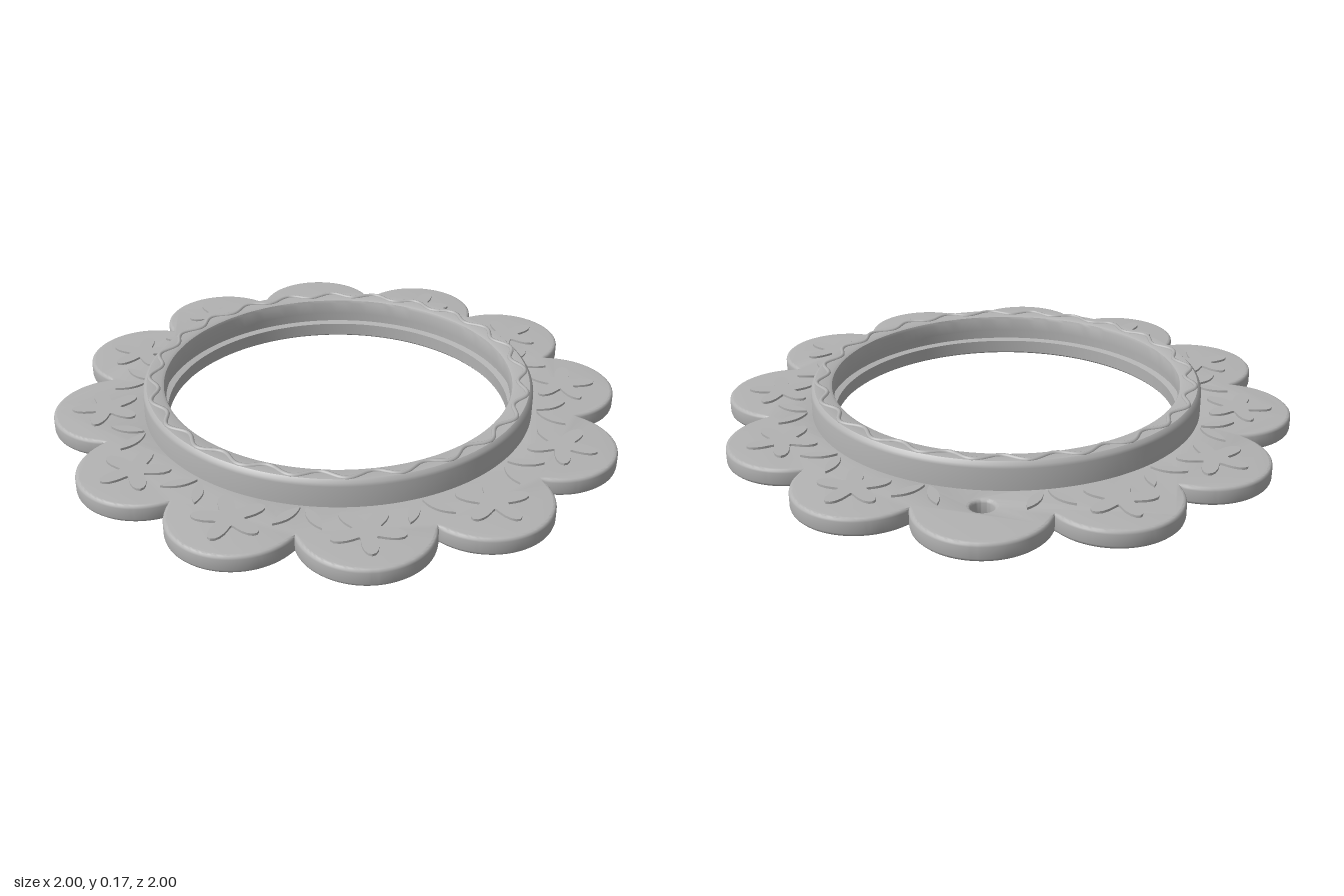
import * as THREE from 'three';
import { toCreasedNormals } from 'three/addons/utils/BufferGeometryUtils.js';

const LOBES = 12, LOBE_R = 0.22, LOBE_DIST = 0.78;
const RELIEF = 0.008, PLATE_TOP = 0.07, RING_TOP = 0.165;

export function createModel() {
  const model = new THREE.Group();
  const grey = new THREE.MeshStandardMaterial({ color: 0xb2b2b2 });
  grey.name = 'plain grey';

  const add = (name, geometry, y = 0, angle = 0, parent = model) => {
    const mesh = new THREE.Mesh(geometry, grey);
    mesh.name = name;
    mesh.position.y = y;
    mesh.rotation.y = angle;
    parent.add(mesh);
    return mesh;
  };
  // flat outline (x, -z) raised along y
  const raise = (shape, depth, bevel, curveSegments = 24) => {
    const g = new THREE.ExtrudeGeometry(shape, {
      depth: depth - 2 * bevel, curveSegments, bevelEnabled: bevel > 0,
      bevelSize: bevel, bevelThickness: bevel, bevelOffset: -bevel, bevelSegments: 3,
    });
    g.translate(0, 0, bevel);
    g.rotateX(-Math.PI / 2);
    return toCreasedNormals(g, 0.6);
  };

  // scalloped plate with a centre opening and a hanging hole
  const half = Math.PI / LOBES;
  const notch = LOBE_DIST * Math.cos(half) + Math.sqrt(LOBE_R ** 2 - (LOBE_DIST * Math.sin(half)) ** 2);
  const sweep = Math.atan2(notch * Math.sin(half), notch * Math.cos(half) - LOBE_DIST);
  const outline = new THREE.Shape();
  for (let i = 0; i < LOBES; i++) {
    const a = i * 2 * half;
    outline.absarc(LOBE_DIST * Math.cos(a), LOBE_DIST * Math.sin(a), LOBE_R, a - sweep, a + sweep, false);
  }
  outline.holes.push(new THREE.Path().absarc(0, 0, 0.635, 0, Math.PI * 2, true));
  outline.holes.push(new THREE.Path().absarc(0, 0.78, 0.037, 0, Math.PI * 2, true));
  add('scallopedPlate', raise(outline, PLATE_TOP - RELIEF, 0.012, 32), RELIEF);

  // raised ring with softened edges and a groove around its inner wall
  const profile = [
    [0.66, RELIEF], [0.685, 0.03], [0.685, 0.145], [0.682, 0.156], [0.672, RING_TOP],
    [0.622, RING_TOP], [0.612, 0.16], [0.608, 0.15], [0.608, 0.105],
    [0.628, 0.1], [0.628, 0.065], [0.605, 0.06], [0.605, 0.014], [0.611, RELIEF], [0.66, RELIEF],
  ].map(([r, y]) => new THREE.Vector2(r, y));
  add('ring', toCreasedNormals(new THREE.LatheGeometry(profile, 128), 0.6));

  // wavy vine on the ring, above and below
  const wave = [];
  for (let i = 0; i < 192; i++) {
    const t = (i / 192) * Math.PI * 2, r = 0.648 + 0.017 * Math.sin(t * 24);
    wave.push(new THREE.Vector3(r * Math.cos(t), 0, r * Math.sin(t)));
  }
  const vine = new THREE.TubeGeometry(new THREE.CatmullRomCurve3(wave, true), 480, 0.008, 8, true);
  add('upperVine', vine, RING_TOP - 0.001);
  add('lowerVine', vine, RELIEF);

  // five-petalled flower, pointing outwards along +x
  const petals = [];
  for (let i = 0; i < 60; i++) {
    const t = (i / 60) * Math.PI * 2, r = 0.083 + 0.038 * Math.cos(5 * t);
    petals.push(new THREE.Vector2(0.815 + r * Math.cos(t), r * Math.sin(t)));
  }
  const flower = raise(new THREE.Shape(petals), RELIEF + 0.002, 0);

  // pointed leaf, leaning to either side of a notch
  const leaf = (side) => {
    const shape = new THREE.Shape();
    shape.moveTo(-0.06, 0);
    shape.quadraticCurveTo(0, 0.036, 0.06, 0);
    shape.quadraticCurveTo(0, -0.036, -0.06, 0);
    const g = raise(shape, RELIEF + 0.002, 0, 8);
    g.rotateY(side * 0.6);
    g.translate(0.752, 0, -side * 0.042);
    return g;
  };
  const leaves = [leaf(1), leaf(-1)];

  // relief on both faces; the lobe with the hanging hole carries no flower
  const reliefs = [['upperRelief', PLATE_TOP - 0.002], ['lowerRelief', 0]];
  for (const [name, y] of reliefs) {
    const group = new THREE.Group();
    group.name = name;
    for (let i = 0; i < LOBES; i++) {
      const a = i * 2 * half;
      if (i !== LOBES / 4) add('flower', flower, y, a, group);
      for (const g of leaves) add('leaf', g, y, a + half, group);
    }
    model.add(group);
  }
  return model;
}
